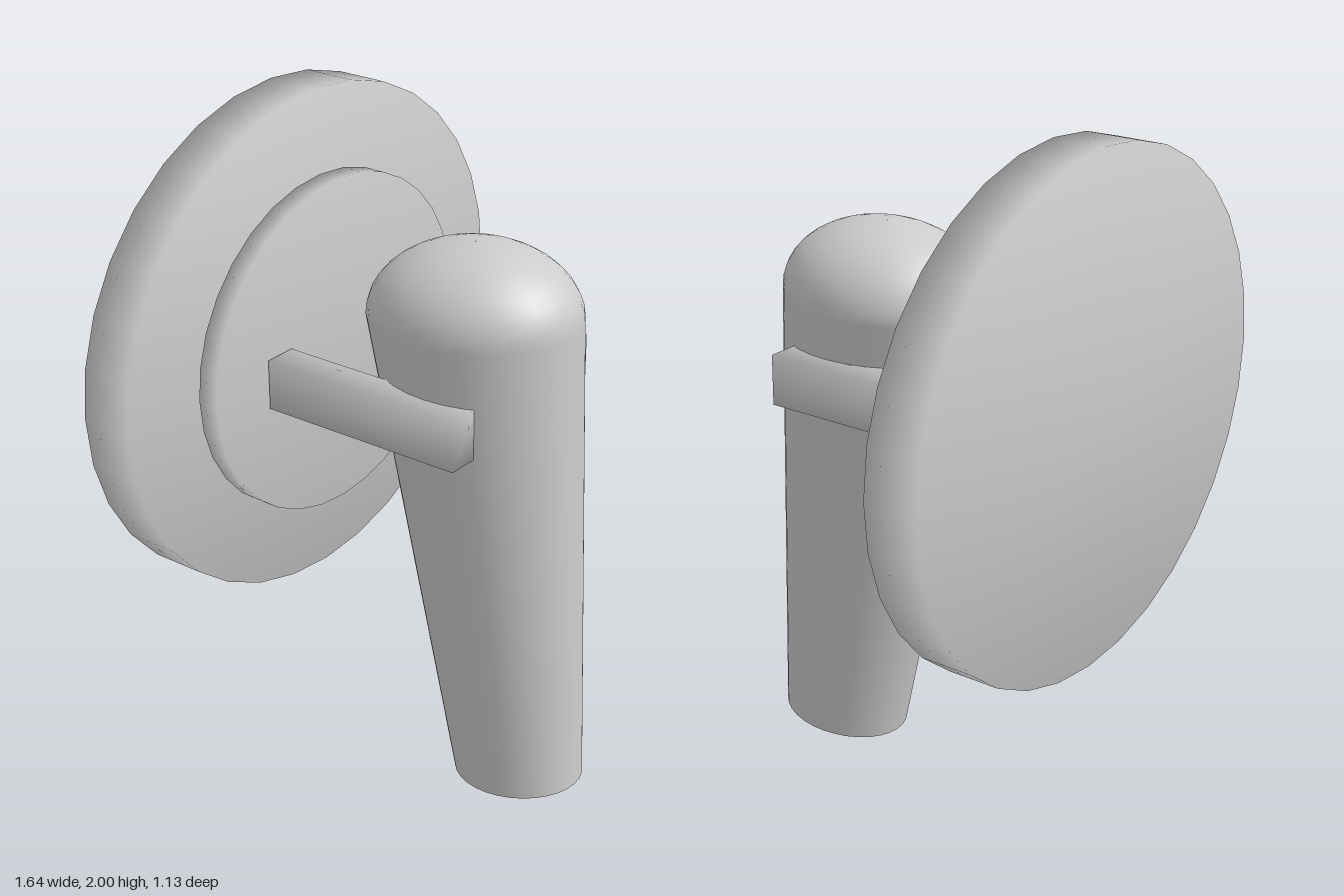
import * as THREE from 'three';
import { mergeVertices } from 'three/addons/utils/BufferGeometryUtils.js';

const material = new THREE.MeshStandardMaterial({ color: 0xcccccc });
const SIDES = 32;

function addMesh(group, name, geometry) {
  const mesh = new THREE.Mesh(geometry, material);
  mesh.name = name;
  group.add(mesh);
  return mesh;
}

// Welds all corners so shading runs smoothly over the edges
function smooth(geometry) {
  geometry.deleteAttribute('normal');
  geometry.deleteAttribute('uv');
  const welded = mergeVertices(geometry, 1e-4);
  welded.computeVertexNormals();
  return welded;
}

// Slightly oval disc facing z
function disc(rx, ry, zFront, zBack) {
  const g = new THREE.CylinderGeometry(1, 1, zFront - zBack, SIDES);
  g.rotateX(Math.PI / 2);
  g.scale(rx, ry, 1);
  g.translate(0, 1.236, (zFront + zBack) / 2);
  return smooth(g);
}

// Skin over elliptical rings, each tilted so its front is raised by "tilt"
function loft(rings) {
  const pos = [], index = [];
  rings.forEach(({ x, y, z, rx, rz, tilt }, r) => {
    for (let i = 0; i < SIDES; i++) {
      const a = (i / SIDES) * Math.PI * 2;
      pos.push(x + rx * Math.sin(a), y + tilt * Math.cos(a), z + rz * Math.cos(a));
      if (r === 0) continue;
      const j = (i + 1) % SIDES, up = (r - 1) * SIDES, down = r * SIDES;
      index.push(up + i, down + i, up + j, down + i, down + j, up + j);
    }
  });
  const g = new THREE.BufferGeometry();
  g.setAttribute('position', new THREE.Float32BufferAttribute(pos, 3));
  g.setIndex(index);
  g.computeVertexNormals();
  return g;
}

// Rings from the dome's tip down the tapering, leaning stem; inset gives the inner wall
function stemRings(inset) {
  const rings = [];
  for (let i = 0; i <= 10; i++) {
    const a = (i / 10) * Math.PI / 2, s = Math.max(Math.sin(a), 0.002);
    rings.push({
      x: 0, y: 1.455 + (0.22 - inset) * Math.cos(a), z: 0.162,
      rx: (0.272 - inset) * s, rz: (0.324 - inset) * s, tilt: 0.015 * s,
    });
  }
  for (let i = 1; i <= 6; i++) {
    const t = i / 6, mix = (p, q) => THREE.MathUtils.lerp(p, q, t);
    rings.push({
      x: mix(0, -0.024), y: mix(1.455, 0.019), z: mix(0.162, 0.361),
      rx: mix(0.272, 0.171) - inset, rz: mix(0.324, 0.203) - inset, tilt: mix(0.015, 0.019),
    });
  }
  return rings;
}

export function createModel() {
  const model = new THREE.Group();
  model.name = 'earpiece';

  // Hollow stem with a domed top and an open foot
  const stem = new THREE.Group();
  stem.name = 'stem';
  const outer = stemRings(0), inner = stemRings(0.02).reverse();
  addMesh(stem, 'outerShell', loft(outer));
  addMesh(stem, 'footRim', loft([outer[outer.length - 1], inner[0]]));
  addMesh(stem, 'innerWall', loft(inner));
  model.add(stem);

  // Two arms reaching back from the stem
  for (const [name, x, y] of [['leftArm', 0.272, 1.247], ['rightArm', -0.277, 1.224]]) {
    const arm = new THREE.BoxGeometry(0.102, 0.152, 0.65);
    arm.translate(x, y, 0.004);
    addMesh(model, name, smooth(arm));
  }

  // Small and large round plates at the back
  addMesh(model, 'smallPlate', disc(0.545, 0.512, -0.325, -0.39));
  addMesh(model, 'largePlate', disc(0.818, 0.764, -0.4, -0.563));

  return model;
}
